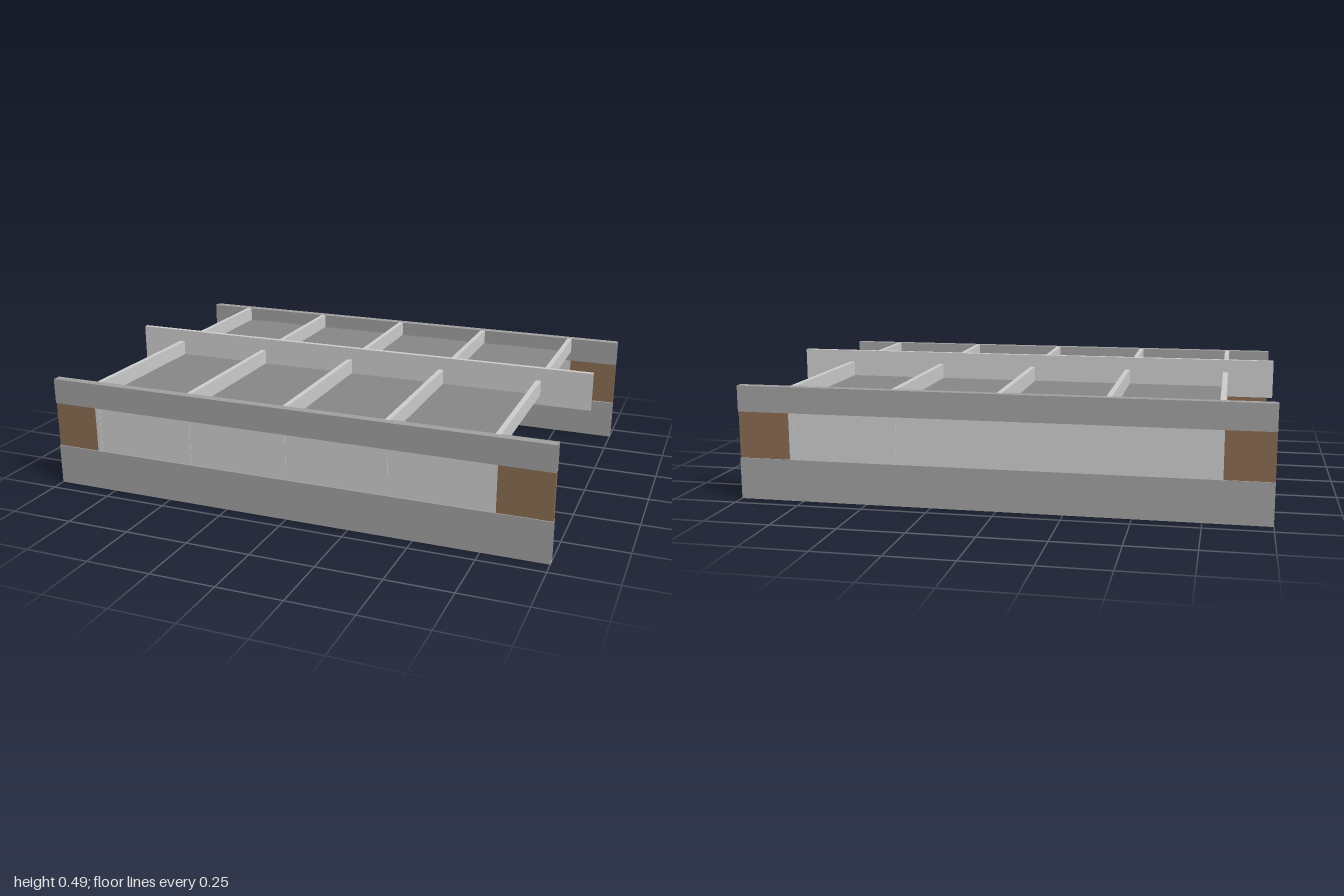
import * as THREE from 'three';

const material = (color) => new THREE.MeshStandardMaterial({ color });
const light = material(0xcccccc);
const railGrey = material(0x9f9f9f);
const deckGrey = material(0x868686);
const wood = material(0x8a6a52);
for (const m of [light, railGrey, deckGrey]) m.side = THREE.DoubleSide;

// Box given by its [min, max] extent on each axis
function box(name, [x0, x1], [y0, y1], [z0, z1], mat, openEnds = false) {
  const geometry = new THREE.BoxGeometry(x1 - x0, y1 - y0, z1 - z0);
  // Hollow sections: drop the +x and -x end faces
  if (openEnds) {
    geometry.setIndex(Array.from(geometry.index.array).slice(12));
    geometry.clearGroups();
  }
  const mesh = new THREE.Mesh(geometry, mat);
  mesh.name = name;
  mesh.position.set((x0 + x1) / 2, (y0 + y1) / 2, (z0 + z1) / 2);
  return mesh;
}

export function createModel() {
  const model = new THREE.Group();
  model.name = 'deckFrame';
  const length = [-1, 1];
  const joists = [-0.81, -0.41, -0.01, 0.39, 0.79];
  const half = 0.01;

  // Central beam, standing above the side rails
  model.add(box('centerBeam', length, [0.34, 0.49], [-0.01, 0.01], light, true));

  // Thin deck sheet under the joists
  const deck = new THREE.Mesh(new THREE.PlaneGeometry(1.6, 1.32), deckGrey);
  deck.name = 'deck';
  deck.rotation.x = -Math.PI / 2;
  deck.position.set(-0.01, 0.381, 0);
  model.add(deck);

  // Cross joists
  for (const x of joists) {
    model.add(box('joist', [x - half, x + half], [0.38, 0.44], [-0.66, 0.66], light));
  }

  // Side walls: rails, posts, infill panels and wooden end boards
  for (const side of [-1, 1]) {
    const wall = new THREE.Group();
    wall.name = side > 0 ? 'frontWall' : 'backWall';
    const span = (a, b) => (side > 0 ? [a, b] : [-b, -a]);
    const railZ = span(0.655, 0.69);
    const panelY = [0.16, 0.34];
    const postZ = span(0.665, 0.685);

    wall.add(box('bottomRail', length, [0, 0.16], railZ, railGrey, true));
    wall.add(box('topRail', length, [0.34, 0.44], railZ, railGrey, true));
    wall.add(box('endBoard', [-1, joists[0] - half], panelY, postZ, wood));
    wall.add(box('endBoard', [joists[4] + half, 1], panelY, postZ, wood));
    joists.forEach((x, i) => {
      wall.add(box('post', [x - half, x + half], panelY, postZ, light));
      if (i < 4) {
        wall.add(box('panel', [x + half, joists[i + 1] - half], panelY, span(0.667, 0.683), light));
      }
    });
    model.add(wall);
  }
  return model;
}
